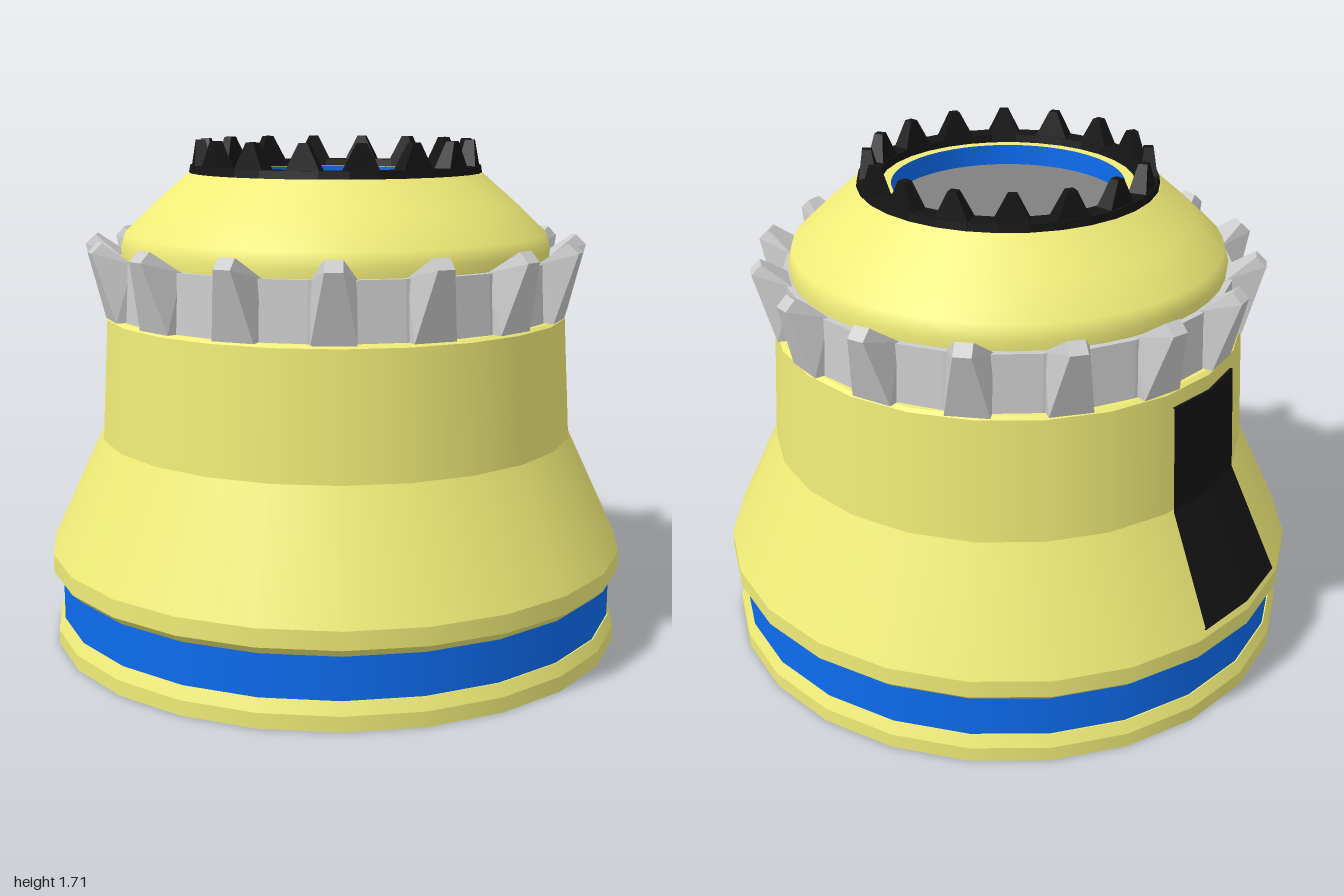
import * as THREE from 'three';
import { ConvexGeometry } from 'three/addons/geometries/ConvexGeometry.js';

const mat = (color, flatShading = false) =>
  new THREE.MeshStandardMaterial({ color, flatShading, side: THREE.DoubleSide });
const yellow = mat(0xf0ec78), blue = mat(0x0d6cf0), black = mat(0x141414, true);
const steel = mat(0xcccccc, true), grey = mat(0x808080), purple = mat(0x800080);

const DEG = Math.PI / 180;
const TEETH = 16;

export function createModel() {
  const model = new THREE.Group();

  const add = (name, geometry, material, parent = model) => {
    const mesh = new THREE.Mesh(geometry, material);
    mesh.name = name;
    parent.add(mesh);
    return mesh;
  };
  // Smooth revolved surface through [radius, y] points
  const lathe = (pts, segs, start = 0, length = Math.PI * 2) =>
    new THREE.LatheGeometry(pts.map(([r, y]) => new THREE.Vector2(r, y)), segs, start, length);
  // One lathe per profile step keeps the edges between bands sharp
  const bands = (name, pts, material, segs = 24, start, length) => {
    const group = new THREE.Group();
    group.name = name;
    for (let i = 1; i < pts.length; i++) {
      add(name + 'Band' + i, lathe([pts[i - 1], pts[i]], segs, start, length), material, group);
    }
    model.add(group);
  };
  // Ring of identical convex teeth; rows are [halfWidth, y, radius]
  const teeth = (name, rows, material, offset) => {
    const points = rows.flatMap(([w, y, r]) =>
      [new THREE.Vector3(-w, y, r), new THREE.Vector3(w, y, r)]);
    const geometry = new ConvexGeometry(points);
    const group = new THREE.Group();
    group.name = name;
    for (let i = 0; i < TEETH; i++) {
      const tooth = add(name + 'Tooth', geometry, material, group);
      tooth.rotation.y = offset + (i * Math.PI * 2) / TEETH;
    }
    model.add(group);
  };

  // Base and lower stripe
  bands('underside', [[0, 0], [0.99, 0]], purple);
  bands('baseRim', [[0.99, 0], [0.99, 0.05], [0.972, 0.09], [0.965, 0.09]], yellow);
  bands('blueStripe', [[0.968, 0.09], [0.968, 0.23]], blue);

  // Flared body with a stepped shoulder
  bands('body', [[0.968, 0.23], [1, 0.26], [1, 0.32], [0.817, 0.71],
    [0.793, 1.12], [0.78, 1.13], [0.7, 1.13]], yellow);

  // Dark panel that follows the right side of the body
  bands('sidePanel', [[0.985, 0.345], [0.994, 0.347], [0.824, 0.71], [0.802, 1.07], [0.79, 1.07]],
    black, 2, 257 * DEG, 26 * DEG);

  // Toothed steel collar
  bands('collar', [[0.765, 1.13], [0.755, 1.32], [0.72, 1.32]], steel, 32);
  teeth('collar', [[0.07, 1.13, 0.74], [0.07, 1.13, 0.795], [0.07, 1.32, 0.735],
    [0.028, 1.355, 0.86], [0.028, 1.388, 0.825]], steel, 6 * DEG);

  // Dome and mouth
  add('dome', lathe([[0.73, 1.3], [0.735, 1.35], [0.72, 1.4], [0.62, 1.495], [0.5, 1.6]], 48), yellow);
  bands('mouthRim', [[0.5, 1.6], [0.385, 1.6]], yellow, 48);
  bands('mouthWall', [[0.385, 1.6], [0.385, 1.53]], blue, 48);
  bands('mouthFloor', [[0.386, 1.53], [0, 1.53]], grey, 48);

  // Black crown of teeth around the mouth
  bands('crownRing', [[0.5, 1.595], [0.495, 1.625], [0.425, 1.625], [0.42, 1.6]], black, 32);
  teeth('crown', [[0.06, 1.615, 0.425], [0.06, 1.615, 0.487],
    [0.014, 1.71, 0.445], [0.014, 1.71, 0.475]], black, -6 * DEG);

  return model;
}
